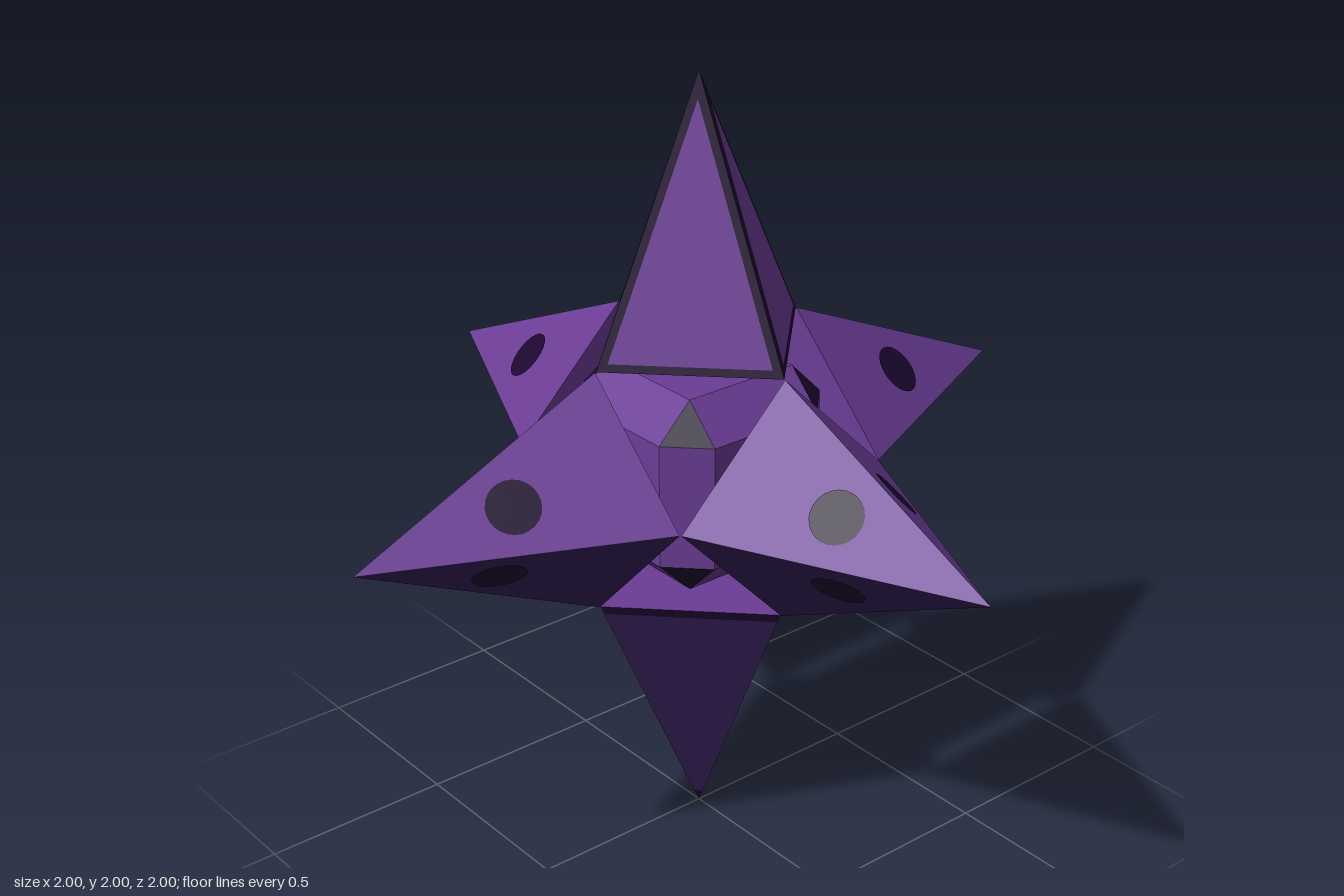
import * as THREE from 'three';

const MID = 1.025, LOW = 0.70, HIGH = 1.33; // heights of tips and spike corners
const BASE = 0.315, HALF = 0.312;           // distance of spike bases, half diagonal
const V = (x, y, z) => new THREE.Vector3(x, y, z);

function paint(name, color) {
  const material = new THREE.MeshStandardMaterial({ color });
  material.name = name;
  return material;
}
const purple = paint('purple', 0x6b3d96);
const indigo = paint('deep indigo', 0x37215a);
const dark = paint('dark violet', 0x1d0830);

const average = (pts) => pts.reduce((s, p) => s.add(p), V(0, 0, 0)).divideScalar(pts.length);

// Unit normal of a polygon, pointing away from a point inside the solid
function outward(pts, inside) {
  const n = pts[1].clone().sub(pts[0]).cross(pts[2].clone().sub(pts[0])).normalize();
  return n.dot(average(pts).sub(inside)) < 0 ? n.negate() : n;
}

// Flat-sided mesh from convex polygons, all facing away from the inside point
function facets(name, polygons, inside, material) {
  const pos = [];
  for (const poly of polygons) {
    const n = outward(poly, inside);
    for (let i = 1; i < poly.length - 1; i++) {
      const [a, b, c] = [poly[0], poly[i], poly[i + 1]];
      const facing = b.clone().sub(a).cross(c.clone().sub(a)).dot(n) > 0;
      for (const p of facing ? [a, b, c] : [a, c, b]) pos.push(p.x, p.y, p.z);
    }
  }
  const g = new THREE.BufferGeometry();
  g.setAttribute('position', new THREE.Float32BufferAttribute(pos, 3));
  g.computeVertexNormals();
  const mesh = new THREE.Mesh(g, material);
  mesh.name = name;
  return mesh;
}

// Four side triangles of a spike
const sides = (corners, tip) => corners.map((c, i) => [c, corners[(i + 1) % 4], tip]);

// Polygon lifted slightly off its face
function lifted(pts, inside) {
  const lift = outward(pts, inside).multiplyScalar(0.003);
  return pts.map((p) => p.clone().add(lift));
}

// Triangle shrunk by an even border
function insetPanel([a, b, c], border, inside) {
  const la = b.distanceTo(c), lb = c.distanceTo(a), lc = a.distanceTo(b), sum = la + lb + lc;
  const centre = V(0, 0, 0).addScaledVector(a, la / sum).addScaledVector(b, lb / sum).addScaledVector(c, lc / sum);
  const area = b.clone().sub(a).cross(c.clone().sub(a)).length() / 2;
  const k = 1 - border / (2 * area / sum);
  return lifted([a, b, c].map((p) => p.clone().sub(centre).multiplyScalar(k).add(centre)), inside);
}

// Panel from edge to edge, leaving only the base strip and the tip bare
function bandPanel([a, b, tip], inside) {
  const band = [a.clone().lerp(tip, 0.03), b.clone().lerp(tip, 0.03), b.clone().lerp(tip, 0.95), a.clone().lerp(tip, 0.95)];
  return lifted(band, inside);
}

// Vertical spike: dark body with coloured panels, bordered on the listed sides
function framedSpike(name, baseY, tipY, material, bordered) {
  const group = new THREE.Group();
  group.name = name;
  const corners = [V(HALF, baseY, 0), V(0, baseY, HALF), V(-HALF, baseY, 0), V(0, baseY, -HALF)];
  const inside = V(0, baseY * 0.75 + tipY * 0.25, 0);
  const faces = sides(corners, V(0, tipY, 0));
  const panels = faces.map((f, i) => (bordered.includes(i) ? insetPanel(f, 0.02, inside) : bandPanel(f, inside)));
  group.add(facets('spikeFrame', faces, inside, dark));
  group.add(facets('spikeCap', [corners], inside, purple));
  group.add(facets('spikePanels', panels, inside, material));
  return group;
}

// Horizontal spike: purple above, indigo below, one round spot per side
function spottedSpike(name, axis, sign, spotAt) {
  const group = new THREE.Group();
  group.name = name;
  const at = (out, across, y) => (axis === 'x' ? V(sign * out, y, across) : V(across, y, sign * out));
  const corners = [at(BASE, 0, HIGH), at(BASE, HALF, MID), at(BASE, 0, LOW), at(BASE, -HALF, MID)];
  const tip = at(1, 0, MID), inside = at(0.5, 0, MID);
  const faces = sides(corners, tip);
  group.add(facets('spikeTop', [corners, faces[0], faces[3]], inside, purple));
  group.add(facets('spikeUnderside', [faces[1], faces[2]], inside, indigo));
  faces.forEach((face, i) => {
    const n = outward(face, inside);
    const spot = new THREE.Mesh(new THREE.CircleGeometry(0.066, 24), dark);
    spot.name = 'spot';
    const t = (spotAt[i] - BASE) / (1 - BASE);
    spot.position.copy(face[0]).add(face[1]).multiplyScalar(0.5).lerp(tip, t).addScaledVector(n, 0.003);
    spot.quaternion.setFromUnitVectors(V(0, 0, 1), n);
    group.add(spot);
  });
  return group;
}

// Bevelled cube core: purple squares and bevels, dark corner triangles
function core() {
  const a = 0.16, h = 0.253, cy = 1.018, S = [-1, 1];
  const group = new THREE.Group();
  group.name = 'core';
  const plates = [], triangles = [];
  // Turn the coordinates round so each rule covers all three axes
  const turn = (k, p) => V(p[(3 - k) % 3], p[(4 - k) % 3], p[(5 - k) % 3]);
  for (let k = 0; k < 3; k++) {
    for (const s of S) {
      plates.push([[-a, -a], [a, -a], [a, a], [-a, a]].map(([u, v]) => turn(k, [s * h, u, v])));
      for (const t of S) {
        plates.push([[h, a, -a], [a, h, -a], [a, h, a], [h, a, a]].map(([u, v, w]) => turn(k, [s * u, t * v, w])));
      }
    }
  }
  for (const x of S) for (const y of S) for (const z of S) {
    triangles.push([V(x * h, y * a, z * a), V(x * a, y * h, z * a), V(x * a, y * a, z * h)]);
  }
  group.add(facets('corePlates', plates, V(0, 0, 0), purple));
  group.add(facets('coreCorners', triangles, V(0, 0, 0), dark));
  group.position.y = cy;
  return group;
}

export function createModel() {
  const model = new THREE.Group();
  model.name = 'spikedStar';
  model.add(core());
  model.add(framedSpike('topSpike', HIGH, 2, purple, [0, 1, 2, 3]));
  model.add(framedSpike('bottomSpike', LOW, 0, indigo, [2]));
  // Spot distances run: upper +, lower +, lower -, upper -
  model.add(spottedSpike('leftSpike', 'x', 1, [0.58, 0.57, 0.58, 0.58]));
  model.add(spottedSpike('rightSpike', 'x', -1, [0.62, 0.66, 0.58, 0.53]));
  model.add(spottedSpike('frontSpike', 'z', 1, [0.6, 0.565, 0.61, 0.6]));
  model.add(spottedSpike('backSpike', 'z', -1, [0.575, 0.59, 0.53, 0.58]));
  return model;
}
